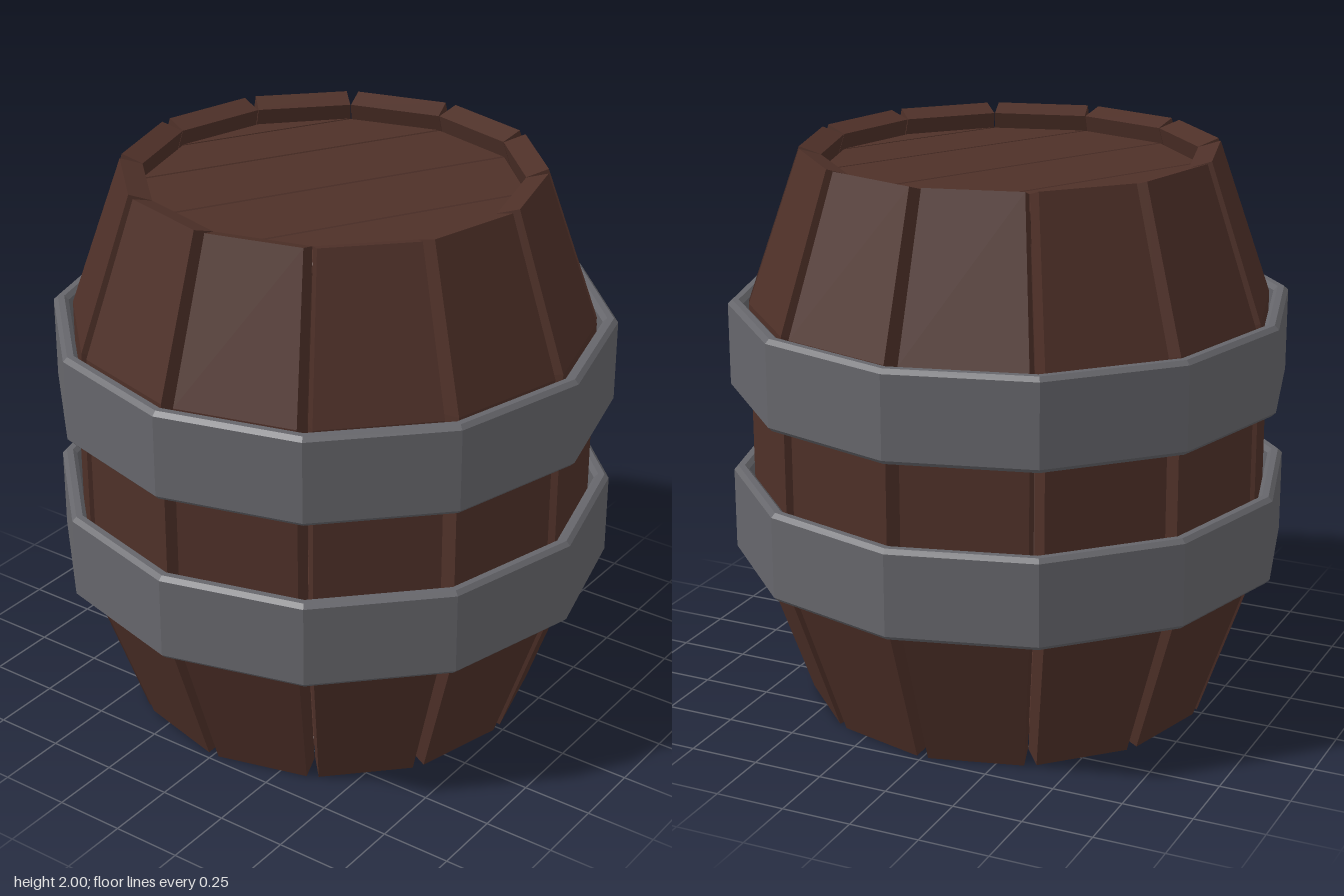
import * as THREE from 'three';

const wood = new THREE.MeshStandardMaterial({ color: 0x4e3028, flatShading: true });
const iron = new THREE.MeshStandardMaterial({ color: 0x66666b, flatShading: true });
const SIDES = 12;

// One bent plank: a box whose four levels follow the barrel profile, ends cut square to the slope
function staveGeometry() {
  const outer = [[0.705, 0], [0.887, 0.54], [0.887, 1.46], [0.705, 2]];
  const inner = [[0.628, 0.025], [0.795, 0.56], [0.795, 1.44], [0.628, 1.975]];
  const halfWidth = [0.167, 0.212, 0.212, 0.167];
  const geo = new THREE.BoxGeometry(1, 1, 1, 1, 3, 1);
  const p = geo.attributes.position;
  for (let i = 0; i < p.count; i++) {
    const level = Math.round((p.getY(i) + 0.5) * 3);
    const [r, y] = (p.getZ(i) > 0 ? outer : inner)[level];
    p.setXYZ(i, Math.sign(p.getX(i)) * halfWidth[level], y, r);
  }
  const flat = geo.toNonIndexed();
  flat.computeVertexNormals();
  return flat;
}

// Round lid of six parallel boards, seams running between opposite corners of the twelve-gon
function makeLid(name, y) {
  const lid = new THREE.Group();
  lid.name = name;
  const R = 0.66, thick = 0.04, bevel = 0.006;
  const corner = (k, side) => {
    const a = (k * Math.PI) / 6;
    return new THREE.Vector2(-R * Math.cos(a), side * R * Math.sin(a));
  };
  for (let k = 0; k < 6; k++) {
    const pts = [corner(k, -1), corner(k + 1, -1), corner(k + 1, 1), corner(k, 1)];
    if (k === 0) pts.pop();
    if (k === 5) pts.splice(2, 1);
    const geo = new THREE.ExtrudeGeometry(new THREE.Shape(pts), {
      depth: thick - 2 * bevel, bevelEnabled: true, bevelSegments: 1,
      bevelThickness: bevel, bevelSize: bevel, bevelOffset: -bevel - 0.001,
    });
    geo.translate(0, 0, bevel - thick / 2);
    geo.rotateX(-Math.PI / 2);
    const board = new THREE.Mesh(geo, wood);
    board.name = 'lidBoard';
    lid.add(board);
  }
  lid.rotation.y = -Math.PI / 6;
  lid.position.y = y;
  return lid;
}

// Twelve-sided hoop with chamfered rims
function makeHoop(name, y) {
  const h = 0.16, c = 0.015, ri = 0.932, ro = 0.985;
  const profile = [
    [ri, -h + c], [ri + c, -h], [ro - c, -h], [ro, -h + c],
    [ro, h - c], [ro - c, h], [ri + c, h], [ri, h - c], [ri, -h + c],
  ].map(([x, py]) => new THREE.Vector2(x, py));
  const hoop = new THREE.Mesh(new THREE.LatheGeometry(profile, SIDES), iron);
  hoop.name = name;
  hoop.position.y = y;
  return hoop;
}

export function createModel() {
  const barrel = new THREE.Group();
  barrel.name = 'barrel';

  // Ring of staves
  const geo = staveGeometry();
  const staves = new THREE.Group();
  staves.name = 'staves';
  for (let i = 0; i < SIDES; i++) {
    const stave = new THREE.Mesh(geo, wood);
    stave.name = 'stave';
    stave.rotation.y = ((i + 0.5) * 2 * Math.PI) / SIDES;
    staves.add(stave);
  }
  barrel.add(staves);

  // Recessed ends and iron hoops
  barrel.add(makeLid('topLid', 1.9), makeLid('bottomLid', 0.1));
  barrel.add(makeHoop('upperHoop', 1.31), makeHoop('lowerHoop', 0.7));
  return barrel;
}
